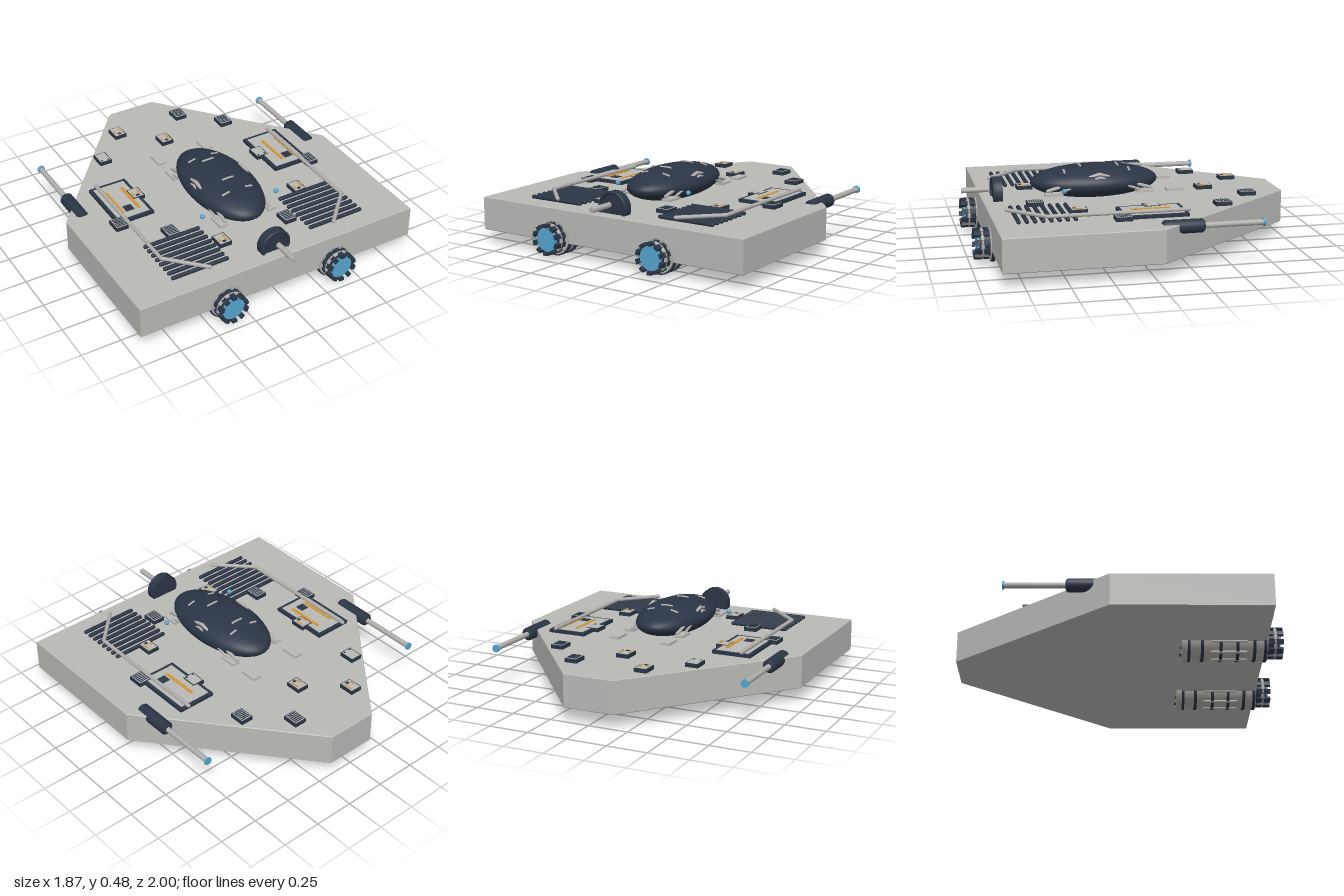
import * as THREE from 'three';
import { RoundedBoxGeometry } from 'three/addons/geometries/RoundedBoxGeometry.js';

const mat = (name, color) => {
  const m = new THREE.MeshStandardMaterial({ color });
  m.name = name;
  return m;
};

export function createModel() {
  const hullGrey = mat('hull grey', 0xb9b9b6);
  const metal = mat('pipe metal', 0xb0aeaa);
  const navy = mat('dark navy', 0x2b3545);
  const blue = mat('glow blue', 0x55a5cf);
  const amber = mat('amber', 0xd6942f);

  const root = new THREE.Group();
  root.name = 'spacecraft';
  const DECK = 0.295;

  const add = (parent, name, geo, material, x = 0, y = 0, z = 0) => {
    const m = new THREE.Mesh(geo, material);
    m.name = name;
    m.position.set(x, y, z);
    parent.add(m);
    return m;
  };
  const group = (name, x = 0, y = 0, z = 0) => {
    const g = new THREE.Group();
    g.name = name;
    g.position.set(x, y, z);
    root.add(g);
    return g;
  };
  const box = (w, h, d) => new THREE.BoxGeometry(w, h, d);
  // Cylinder lying along z
  const cylZ = (r, len, seg = 24) => new THREE.CylinderGeometry(r, r, len, seg).rotateX(Math.PI / 2);
  // Tube with straight runs between points, closed by balls at joints and ends
  const pipe = (parent, name, pts, r) => {
    const v = pts.map(p => new THREE.Vector3(...p));
    for (let i = 0; i < v.length - 1; i++)
      add(parent, name, new THREE.TubeGeometry(new THREE.LineCurve3(v[i], v[i + 1]), 1, r, 10), metal);
    v.forEach(p => add(parent, name + 'Joint', new THREE.SphereGeometry(r, 10, 8), metal, p.x, p.y, p.z));
  };

  // Wedge hull with a fine edge bevel
  const outline = [[-0.16, -1], [0.16, -1], [0.935, -0.06], [0.935, 0.875], [-0.935, 0.875], [-0.935, -0.06]];
  const shape = new THREE.Shape(outline.map(([x, z]) => new THREE.Vector2(x, -z)));
  const hull = new THREE.ExtrudeGeometry(shape, {
    depth: 0.197, bevelEnabled: true, bevelSize: 0.004, bevelOffset: -0.004, bevelThickness: 0.004, bevelSegments: 1,
  });
  hull.rotateX(-Math.PI / 2);
  add(root, 'hull', hull, hullGrey, 0, 0.094, 0);

  // Canopy
  const RX = 0.21, RY = 0.1, RZ = 0.4, CY = 0.385, CZ = 0.175;
  add(root, 'canopy', new THREE.SphereGeometry(1, 48, 32).scale(RX, RY, RZ), navy, 0, CY, CZ);
  const onCanopy = (x, z) => [x, CY + RY * Math.sqrt(Math.max(0, 1 - (x / RX) ** 2 - ((z - CZ) / RZ) ** 2)), z];
  const canopyTrim = group('canopyTrim');
  for (const z of [-0.03, 0.375])
    for (const s of [-1, 1])
      pipe(canopyTrim, 'canopyHandle', [0.06, 0.1].map(x => onCanopy(s * x, z)), 0.007);
  for (const z of [0.03, 0.265])
    pipe(canopyTrim, 'canopyHandle', [-0.035, 0, 0.035].map(x => onCanopy(x, z)), 0.007);
  for (const s of [-1, 1]) {
    pipe(canopyTrim, 'canopyRail', [[s * 0.155, 0.355, -0.15], [s * 0.165, 0.452, 0.17], [s * 0.155, 0.36, 0.49]], 0.011);
    pipe(canopyTrim, 'canopySideRail', [[s * 0.178, 0.345, -0.1], [s * 0.182, 0.435, 0.17], [s * 0.178, 0.345, 0.44]], 0.008);
    for (const z of [-0.03, 0.375])
      pipe(canopyTrim, 'railBracket', [[s * 0.13, 0.405, z], [s * 0.17, 0.39, z]], 0.007);
  }

  // Raised pads and beacons around the canopy
  for (const s of [-1, 1]) {
    for (const z of [-0.3, -0.11, 0.455])
      add(root, 'pad', box(0.058, 0.015, 0.11), hullGrey, s * 0.17, 0.342, z);
    add(root, 'beacon', new THREE.SphereGeometry(0.015, 16, 12), blue, s * 0.26, 0.38, 0.405);
  }

  // Rear disc mount and tail tube
  add(root, 'rearDisc', cylZ(0.098, 0.05, 40), navy, 0, 0.332, 0.78);
  add(root, 'rearDiscRim', new THREE.TorusGeometry(0.09, 0.01, 10, 40), navy, 0, 0.332, 0.805);
  add(root, 'tailTube', cylZ(0.017, 0.165, 16), metal, 0, 0.355, 0.9175);

  // Side guns
  const gunProfile = [[0, -0.125], [0.03, -0.125], [0.041, -0.112], [0.041, 0.112], [0.03, 0.125], [0, 0.125]]
    .map(p => new THREE.Vector2(...p));
  for (const s of [-1, 1]) {
    const gun = group(s > 0 ? 'leftGun' : 'rightGun', s * 0.82, 0.275, 0);
    add(gun, 'gunBody', new THREE.LatheGeometry(gunProfile, 24).rotateX(Math.PI / 2), navy, 0, 0, -0.185);
    add(gun, 'gunBarrel', cylZ(0.017, 0.37, 16), metal, 0, 0, -0.485);
    add(gun, 'gunTip', cylZ(0.024, 0.012, 16), blue, 0, 0, -0.669);
  }

  // Cooling bars and long deck pipes
  for (const s of [-1, 1]) {
    for (let i = 0; i < 8; i++)
      add(root, 'coolingBar', new RoundedBoxGeometry(0.38, 0.024, 0.024, 2, 0.011), navy, s * 0.47, DECK + 0.012, 0.407 + i * 0.0475);
    pipe(root, 'deckPipe', [[s * 0.632, 0.327, -0.27], [s * 0.632, 0.327, 0.57], [s * 0.428, 0.327, 0.78]], 0.012);
  }

  // Large deck panels: dark frame, light plate, amber strips
  const framed = (parent, w, d, h, edge) => {
    add(parent, 'panelFrame', box(w, h, d), navy, 0, h / 2, 0);
    add(parent, 'panelPlate', box(w - edge * 2, 0.003, d - edge * 2), hullGrey, 0, h + 0.0005, 0);
  };
  for (const [x, strips, port] of [[-0.56, [-0.05, 0.06], 0], [0.56, [-0.027, 0.066], 0.024]]) {
    const panel = group('largePanel', x, DECK, -0.065);
    framed(panel, 0.247, 0.39, 0.02, 0.02);
    for (const sx of strips) add(panel, 'amberStrip', box(0.02, 0.004, 0.24), amber, sx, 0.023, 0.005);
    add(panel, 'panelPort', box(0.055, 0.004, 0.055), navy, port, 0.023, 0.095);
  }

  // Small deck panels: g = grille, a = amber gauge, p = plain
  const small = [
    [-0.23, -0.75, 'a'], [0.225, -0.75, 'g'], [-0.45, -0.53, 'p'], [0, -0.53, 'a'], [0.445, -0.53, 'g'],
    [-0.45, -0.085, 'a'], [0.445, -0.085, 'p'], [-0.68, 0.135, 'g'], [0.68, 0.135, 'g'],
    [-0.45, 0.355, 'g'], [0.445, 0.355, 'a'], [-0.23, 0.58, 'a'], [0.225, 0.58, 'g'],
  ];
  for (const [x, z, kind] of small) {
    const p = group('smallPanel', x, DECK, z);
    const h = 0.024;
    framed(p, 0.08, 0.1, h, 0.006);
    if (kind === 'g')
      for (let i = 0; i < 6; i++) add(p, 'grilleSlat', box(0.06, 0.004, 0.007), navy, 0, h + 0.002, -0.034 + i * 0.0136);
    if (kind === 'a') {
      add(p, 'amberGauge', box(0.009, 0.004, 0.055), amber, 0.022, h + 0.002, 0);
      add(p, 'amberGauge', box(0.009, 0.004, 0.03), amber, -0.022, h + 0.002, 0.01);
      add(p, 'gaugePort', box(0.02, 0.004, 0.018), navy, 0, h + 0.002, 0.028);
    }
    if (kind === 'p')
      for (const s of [-1, 1]) add(p, 'panelStud', box(0.01, 0.004, 0.012), navy, s * 0.022, h + 0.002, 0.035);
  }

  // Engines slung under the hull
  for (const s of [-1, 1]) {
    const e = group(s > 0 ? 'leftEngine' : 'rightEngine', s * 0.375, 0.12, 0);
    add(e, 'engineBody', cylZ(0.104, 0.5, 32), metal, 0, 0, 0.63);
    add(e, 'engineCollar', cylZ(0.115, 0.035, 32), metal, 0, 0, 0.385);
    for (const z of [0.41, 0.49, 0.6, 0.7, 0.8, 0.865])
      add(e, 'engineBand', cylZ(0.113, 0.018, 32), navy, 0, 0, z);
    // Conduits along the lower half
    for (let i = 0; i < 5; i++) {
      const a = Math.PI * (1.1 + i * 0.2);
      const cx = 0.106 * Math.cos(a), cy = 0.106 * Math.sin(a);
      pipe(e, 'conduit', [[cx, cy, 0.55], [cx, cy, 0.75]], 0.009);
    }
    // Studs on the forward cap
    for (let i = 0; i < 8; i++) {
      const a = i * Math.PI / 4;
      add(e, 'capStud', cylZ(0.01, 0.012, 10), navy, 0.075 * Math.cos(a), 0.075 * Math.sin(a), 0.365);
    }
    // Nozzle with a ring of blocks
    add(e, 'nozzleCore', cylZ(0.08, 0.08, 32), navy, 0, 0, 0.905);
    add(e, 'nozzleRing', new THREE.TorusGeometry(0.085, 0.011, 10, 40), metal, 0, 0, 0.925);
    add(e, 'nozzleGlow', cylZ(0.073, 0.008, 32), blue, 0, 0, 0.95);
    for (let i = 0; i < 10; i++) {
      const a = (i + 0.5) * Math.PI / 5;
      const b = add(e, 'nozzleBlock', box(0.02, 0.03, 0.085), navy, 0.084 * Math.cos(a), 0.084 * Math.sin(a), 0.93);
      b.rotation.z = a;
    }
  }
  return root;
}
